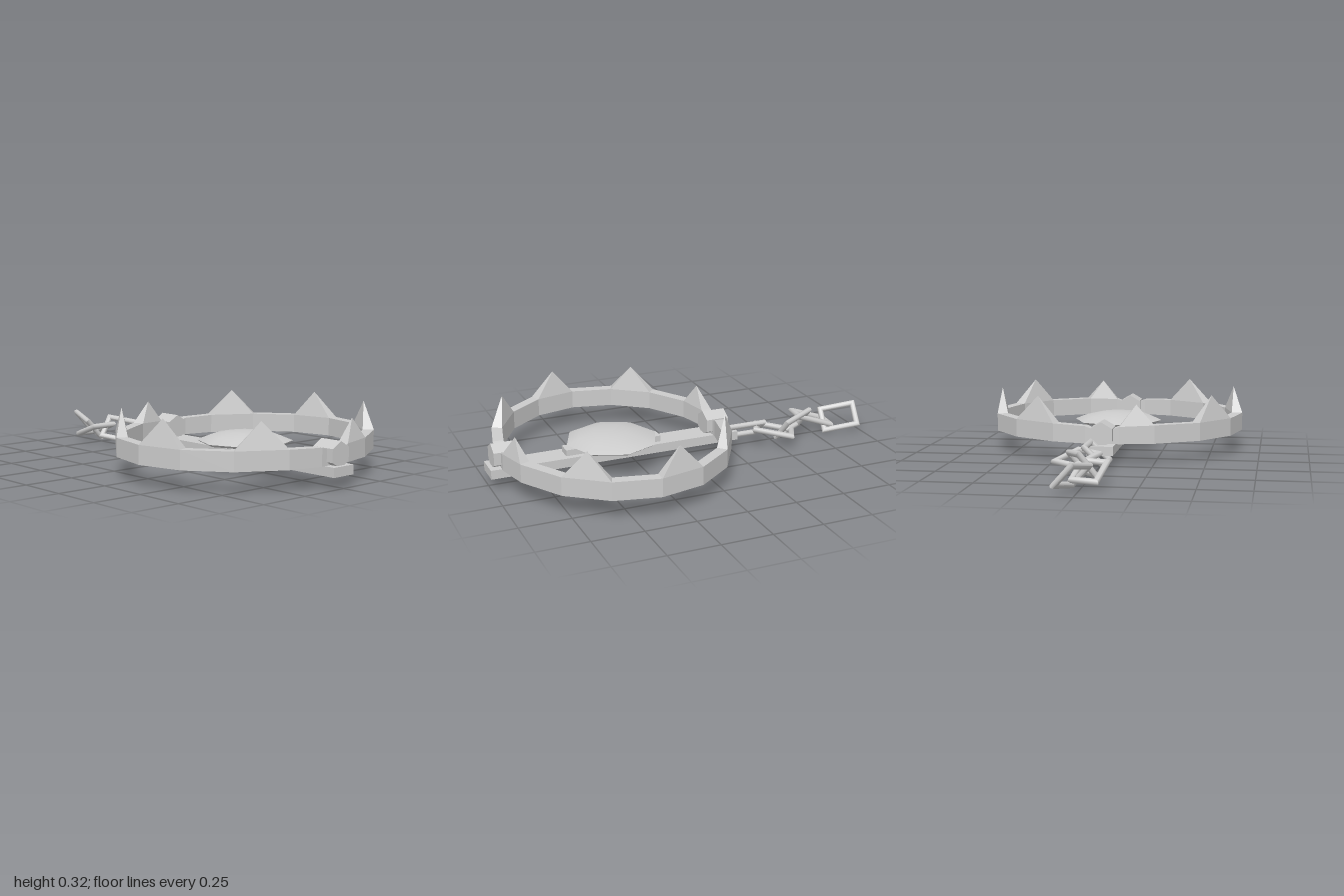
import * as THREE from 'three';
import { toCreasedNormals } from 'three/addons/utils/BufferGeometryUtils.js';

const smooth = new THREE.MeshStandardMaterial({ color: 0xcccccc });
const flat = new THREE.MeshStandardMaterial({ color: 0xcccccc, flatShading: true });
const CZ = 0.375; // centre of the jaw ring along z

function mesh(name, geometry, material = flat) {
  const m = new THREE.Mesh(geometry, material);
  m.name = name;
  return m;
}

// Geometry from a list of triangles, each three Vector3 corners
function fromTriangles(corners) {
  const g = new THREE.BufferGeometry().setFromPoints(corners);
  g.computeVertexNormals();
  return g;
}

// Skin a row of equal cross-sections, either closed in a loop or capped
function sweep(sections, closed) {
  const tris = [], n = sections.length, k = sections[0].length;
  for (let i = 0; i < (closed ? n : n - 1); i++) {
    const s = sections[i], t = sections[(i + 1) % n];
    for (let j = 0; j < k; j++) {
      const l = (j + 1) % k;
      tris.push(s[j], s[l], t[l], s[j], t[l], t[j]);
    }
  }
  if (!closed) {
    const s = sections[0], e = sections[n - 1];
    for (let j = 1; j < k - 1; j++) tris.push(s[0], s[j + 1], s[j], e[0], e[j], e[j + 1]);
  }
  return fromTriangles(tris);
}

// Rectangular band section between an outer and an inner point
function bandSection(xo, zo, xi, zi, top) {
  const V = (x, y, z) => new THREE.Vector3(x, y, z);
  return [V(xo, 0.1, zo), V(xo, top, zo), V(xi, top, zi), V(xi, 0.1, zi)];
}

// Half-ring jaw with a pyramid tooth on every second segment
function createJaw(name) {
  const jaw = new THREE.Group();
  jaw.name = name;
  const sections = [bandSection(0.03, -0.57, 0.03, -0.52, 0.165), bandSection(0.085, -0.572, 0.08, -0.52, 0.185)];
  for (let i = -3; i <= 3; i++) {
    const a = i * Math.PI / 8, c = Math.cos(a), s = Math.sin(a);
    sections.push(bandSection(0.655 * c, 0.577 * s, 0.6 * c, 0.525 * s, 0.19));
  }
  sections.push(bandSection(0.085, 0.572, 0.08, 0.52, 0.185), bandSection(0.03, 0.57, 0.03, 0.52, 0.165));
  jaw.add(mesh('jawBand', sweep(sections, false)));

  for (let i = 2; i <= 8; i += 2) {
    const s = sections[i], t = sections[i + 1];
    const base = [s[1], s[2], t[2], t[1]];
    const tip = new THREE.Vector3();
    base.forEach(p => tip.addScaledVector(p, 0.25));
    tip.y = i === 8 ? 0.29 : 0.315;
    const tris = [];
    base.forEach((p, j) => tris.push(p, base[(j + 1) % 4], tip));
    jaw.add(mesh('tooth', fromTriangles(tris)));
  }
  jaw.position.z = CZ;
  return jaw;
}

// Rectangular chain link: centre, long half-axis and short half-axis
function createLink(centre, long, short) {
  const r = 0.015, c = new THREE.Vector3(...centre);
  const u = new THREE.Vector3(...long), v = new THREE.Vector3(...short);
  const un = u.clone().normalize(), vn = v.clone().normalize();
  const n = new THREE.Vector3().crossVectors(un, vn).normalize();
  const sections = [[1, 1], [-1, 1], [-1, -1], [1, -1]].map(([a, b]) => {
    const corner = c.clone().addScaledVector(u, a).addScaledVector(v, b);
    return Array.from({ length: 8 }, (_, j) => {
      const t = j * Math.PI / 4, o = r * Math.cos(t);
      return corner.clone().addScaledVector(un, a * o).addScaledVector(vn, b * o)
        .addScaledVector(n, -r * Math.sin(t));
    });
  });
  return mesh('chainLink', toCreasedNormals(sweep(sections, true), 0.9), smooth);
}

export function createModel() {
  const model = new THREE.Group();
  model.name = 'jawTrap';

  // Base bar
  const bar = mesh('baseBar', new THREE.BoxGeometry(0.13, 0.045, 1.28));
  bar.position.set(0, 0.0775, 0.36);
  model.add(bar);

  // Two jaws, one the half-turn of the other
  const leftJaw = createJaw('leftJaw'), rightJaw = createJaw('rightJaw');
  rightJaw.rotation.y = Math.PI;
  model.add(leftJaw, rightJaw);

  // Hexagonal hinges at both ends
  for (const z of [0.922, -0.172]) {
    const hinge = mesh('hinge', new THREE.CylinderGeometry(0.062, 0.062, 0.116, 6).rotateX(Math.PI / 2));
    hinge.position.set(0, 0.148, z);
    model.add(hinge);
  }

  // Trigger plate: shallow eight-sided dome on a narrow support
  const support = mesh('plateSupport', new THREE.BoxGeometry(0.07, 0.03, 0.49));
  support.position.set(0, 0.115, CZ);
  const profile = [[0, 0.13], [0.21, 0.13], [0.23, 0.142], [0.17, 0.166], [0.09, 0.182], [0, 0.187]]
    .map(p => new THREE.Vector2(...p));
  const plate = mesh('triggerPlate', toCreasedNormals(new THREE.LatheGeometry(profile, 8), 0.85), smooth);
  plate.position.z = CZ;
  model.add(support, plate);

  // Chain trailing behind the bar
  const chain = new THREE.Group();
  chain.name = 'chain';
  const links = [
    [[0.002, 0.076, -0.342], [0, 0, -0.09], [0.046, 0.042, 0]],
    [[0.073, 0.08, -0.483], [0.041, -0.015, -0.081], [0.052, 0.004, 0.027]],
    [[0.027, 0.078, -0.618], [-0.036, 0.01, -0.079], [0.034, 0.046, -0.011]],
    [[-0.031, 0.07, -0.76], [0.011, -0.028, -0.084], [0.055, 0.002, 0.006]],
    [[0.024, 0.074, -0.895], [0.024, 0.014, -0.083], [0.039, -0.044, 0.006]],
  ];
  for (const l of links) chain.add(createLink(...l));
  model.add(chain);
  return model;
}
